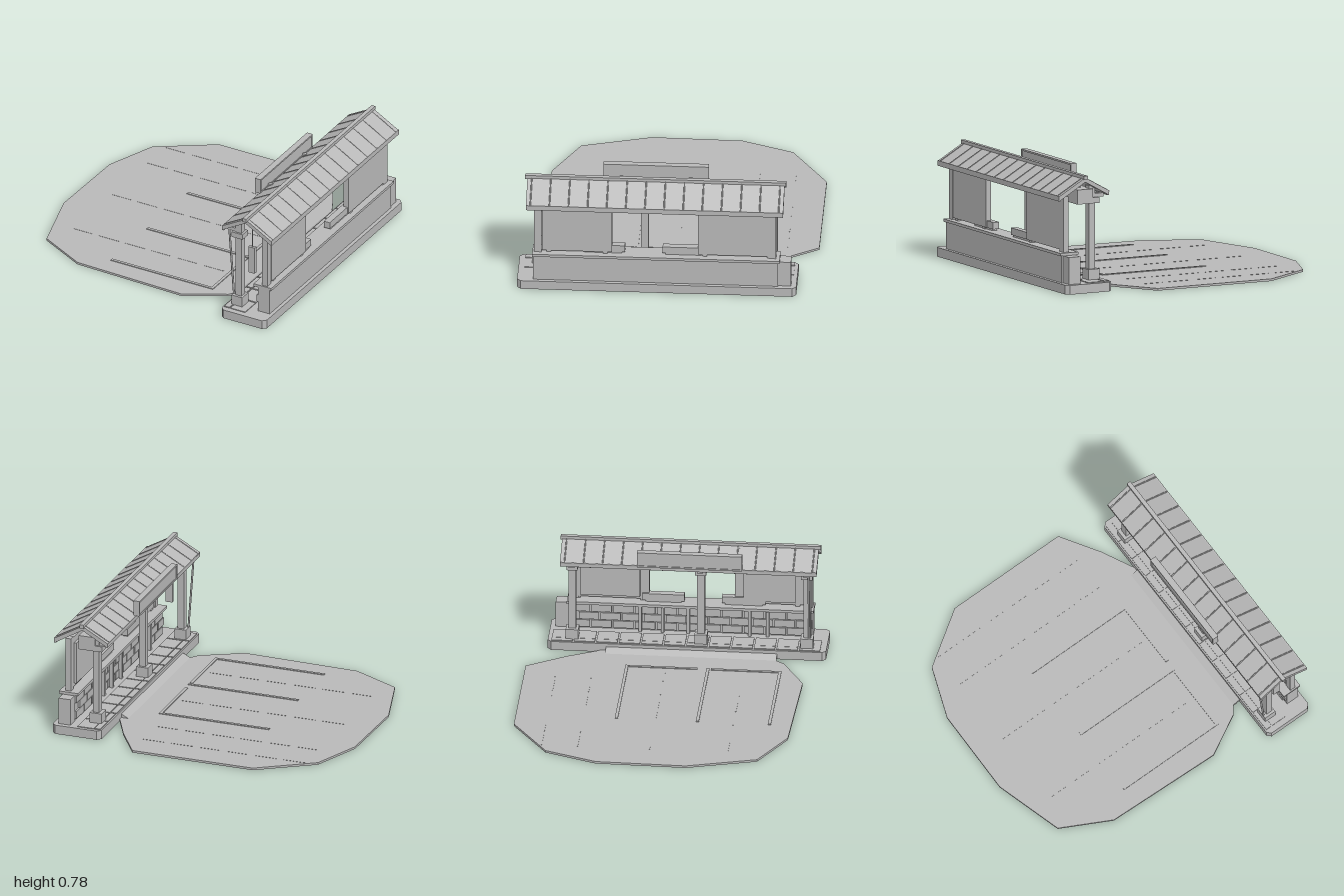
import * as THREE from 'three';

export function createModel() {
  const model = new THREE.Group();
  const grey = new THREE.MeshStandardMaterial({ color: 0xb8b8b8 });
  grey.name = 'stone grey';

  const add = (name, geometry) => {
    const mesh = new THREE.Mesh(geometry, grey);
    mesh.name = name;
    model.add(mesh);
    return mesh;
  };
  // Box given by its extents on each axis
  const box = (name, x0, x1, y0, y1, z0, z1) => {
    const mesh = add(name, new THREE.BoxGeometry(x1 - x0, y1 - y0, z1 - z0));
    mesh.position.set((x0 + x1) / 2, (y0 + y1) / 2, (z0 + z1) / 2);
    return mesh;
  };
  // Horizontal slab from an (x, z) outline
  const slab = (name, outline, y0, y1) => {
    const shape = new THREE.Shape(outline.map(([x, z]) => new THREE.Vector2(x, -z)));
    const geometry = new THREE.ExtrudeGeometry(shape, { depth: y1 - y0, bevelEnabled: false });
    geometry.rotateX(-Math.PI / 2).translate(0, y0, 0);
    return add(name, geometry);
  };
  // Profile in (x, y) extruded along z
  const prism = (name, profile, z0, z1) => {
    const shape = new THREE.Shape(profile.map(([x, y]) => new THREE.Vector2(x, y)));
    const geometry = new THREE.ExtrudeGeometry(shape, { depth: z1 - z0, bevelEnabled: false });
    geometry.translate(0, 0, z0);
    return add(name, geometry);
  };
  // Round or square bar between two points
  const bar = (name, a, b, radius, sides = 8) => {
    const from = new THREE.Vector3(...a), to = new THREE.Vector3(...b);
    const direction = to.clone().sub(from);
    const mesh = add(name, new THREE.CylinderGeometry(radius, radius, direction.length(), sides));
    mesh.position.copy(from).add(to).multiplyScalar(0.5);
    mesh.quaternion.setFromUnitVectors(new THREE.Vector3(0, 1, 0), direction.normalize());
    return mesh;
  };

  // Broad forecourt with faceted outline
  slab('forecourt', [
    [-0.49, -0.99], [0.365, -0.99], [0.53, -0.73], [0.62, -0.55], [0.67, -0.45],
    [0.67, 0.6], [0.62, 0.66], [0.59, 0.66], [0.55, 0.715], [0.275, 0.865],
    [-0.53, 0.84], [-0.865, 0.665], [-1, 0.2], [-0.99, -0.4], [-0.86, -0.745],
  ], 0.002, 0.017);
  // Parking bay lines
  for (const z of [-0.32, 0.22, 0.7]) box('bayLine', -0.35, 0.43, 0.016, 0.022, z - 0.01, z + 0.01);
  box('bayEnd', 0.41, 0.43, 0.016, 0.022, -0.32, 0.15);
  box('bayEnd', 0.41, 0.43, 0.016, 0.022, 0.24, 0.7);
  // Fine paving seams
  for (const z of [-0.78, -0.54, -0.06, 0.46]) {
    for (let x = -0.78; x < 0.35; x += 0.2) box('pavingSeam', x, x + 0.15, 0.016, 0.0185, z - 0.003, z + 0.003);
  }
  // Sloped kerb up to the platform
  prism('kerbRamp', [[0.58, 0.012], [0.66, 0.012], [0.66, 0.055], [0.645, 0.045]], -0.48, 0.66);

  // Raised platform with cut corners
  const c = 0.025;
  slab('platform', [
    [0.64 + c, -0.87], [0.985 - c, -0.87], [0.985, -0.87 + c], [0.985, 0.985 - c],
    [0.985 - c, 0.985], [0.64 + c, 0.985], [0.64, 0.985 - c], [0.64, -0.87 + c],
  ], 0.003, 0.065);
  // Platform paving stones
  for (let i = 0; i < 12; i++) {
    const z = -0.845 + i * 0.15;
    box('edgeStone', 0.65, 0.69, 0.06, 0.072, z, z + 0.14);
    box('pavingStone', 0.697, 0.81, 0.06, 0.07, z, z + 0.14);
  }

  // Low back wall with coping
  box('lowWall', 0.87, 0.96, 0.065, 0.247, -0.75, 0.88);
  box('wallCoping', 0.84, 0.975, 0.247, 0.266, -0.76, 0.885);
  box('endPier', 0.865, 0.95, 0.065, 0.247, -0.835, -0.75);
  // Staggered stone courses on the inner face
  for (let row = 0; row < 3; row++) {
    for (let i = 0; i < 11; i++) {
      const z = -0.74 + i * 0.145 + (row % 2) * 0.06;
      const end = Math.min(z + 0.133, 0.875);
      if (end - z > 0.02) box('wallStone', 0.858, 0.872, 0.075 + row * 0.057, 0.126 + row * 0.057, z, end);
    }
  }
  // Slim uprights in front of the wall
  for (const z of [-0.27, -0.12, 0.05, 0.46, 0.58]) box('wallUpright', 0.835, 0.858, 0.065, 0.248, z - 0.01, z + 0.01);

  // Upper wall panels with framed inner boards
  for (const [z0, z1] of [[-0.735, -0.215], [0.355, 0.82]]) {
    box('backPanel', 0.9, 0.94, 0.28, 0.635, z0, z1);
    box('innerBoard', 0.884, 0.902, 0.3, 0.59, z0 + 0.06, z1 - 0.06);
    for (const z of [z0 + 0.03, z1 - 0.06]) box('panelFoot', 0.905, 0.935, 0.26, 0.285, z, z + 0.03);
  }
  // Items lying on the coping
  for (const [z0, z1] of [[-0.26, 0.02], [0.27, 0.56]]) {
    box('ledgeBlock', 0.885, 0.93, 0.278, 0.325, z0, z1);
    box('ledgeFoot', 0.89, 0.925, 0.264, 0.28, z0 + 0.02, z1 - 0.02);
  }

  // Front posts on square footings, with capitals and brackets
  for (const z of [-0.71, 0.148, 0.855]) {
    box('frontPost', 0.7, 0.745, 0.07, 0.7, z - 0.025, z + 0.025);
    box('postFooting', 0.677, 0.76, 0.065, 0.14, z - 0.042, z + 0.042);
    box('postCapital', 0.675, 0.76, 0.582, 0.62, z - 0.037, z + 0.037);
    box('eaveBracket', 0.635, 0.7, 0.62, 0.645, z - 0.02, z + 0.02);
  }
  // Rear corner posts beneath the roof
  for (const z of [-0.71, 0.85]) box('rearPost', 0.9, 0.94, 0.26, 0.64, z - 0.025, z + 0.025);

  // Hanging boxes under the roof
  for (const z of [-0.66, -0.12, 0.4]) {
    box('hangingBox', 0.725, 0.84, 0.582, 0.68, z - 0.09, z + 0.09);
    bar('boxHanger', [0.78, 0.67, z], [0.78, 0.75, z], 0.008);
  }
  // Hanging board and leaning pole at the end
  box('hangingBoard', 0.78, 0.828, 0.32, 0.515, 0.825, 0.85);
  bar('boardHanger', [0.804, 0.51, 0.838], [0.804, 0.74, 0.838], 0.004);
  bar('leaningPole', [0.682, 0.14, 0.87], [0.645, 0.65, 0.87], 0.007);

  // Pitched roof
  prism('roof', [
    [0.8, 0.765], [0.62, 0.665], [0.625, 0.637], [0.8, 0.735], [0.995, 0.62], [1, 0.65],
  ], -0.785, 0.925);
  box('ridgeCap', 0.787, 0.815, 0.752, 0.778, -0.795, 0.94);
  // Roof battens and eave strips
  for (let i = 0; i < 14; i++) {
    const z = -0.755 + i * 0.127;
    bar('roofBatten', [0.8, 0.764, z], [0.625, 0.667, z], 0.005, 4);
    bar('roofBatten', [0.8, 0.764, z], [0.996, 0.652, z], 0.005, 4);
  }
  box('eaveStrip', 0.622, 0.634, 0.635, 0.667, -0.785, 0.925);
  box('eaveStrip', 0.988, 1, 0.62, 0.655, -0.785, 0.925);

  // Long raised board over the front eave
  box('frontBoard', 0.597, 0.63, 0.672, 0.772, -0.265, 0.425);
  for (const y of [0.668, 0.764]) box('boardRail', 0.592, 0.635, y, y + 0.011, -0.27, 0.43);
  for (const z of [-0.27, 0.42]) box('boardStile', 0.592, 0.635, 0.668, 0.775, z, z + 0.01);
  for (const z of [-0.15, 0.31]) box('boardBrace', 0.625, 0.66, 0.675, 0.69, z - 0.01, z + 0.01);

  return model;
}
